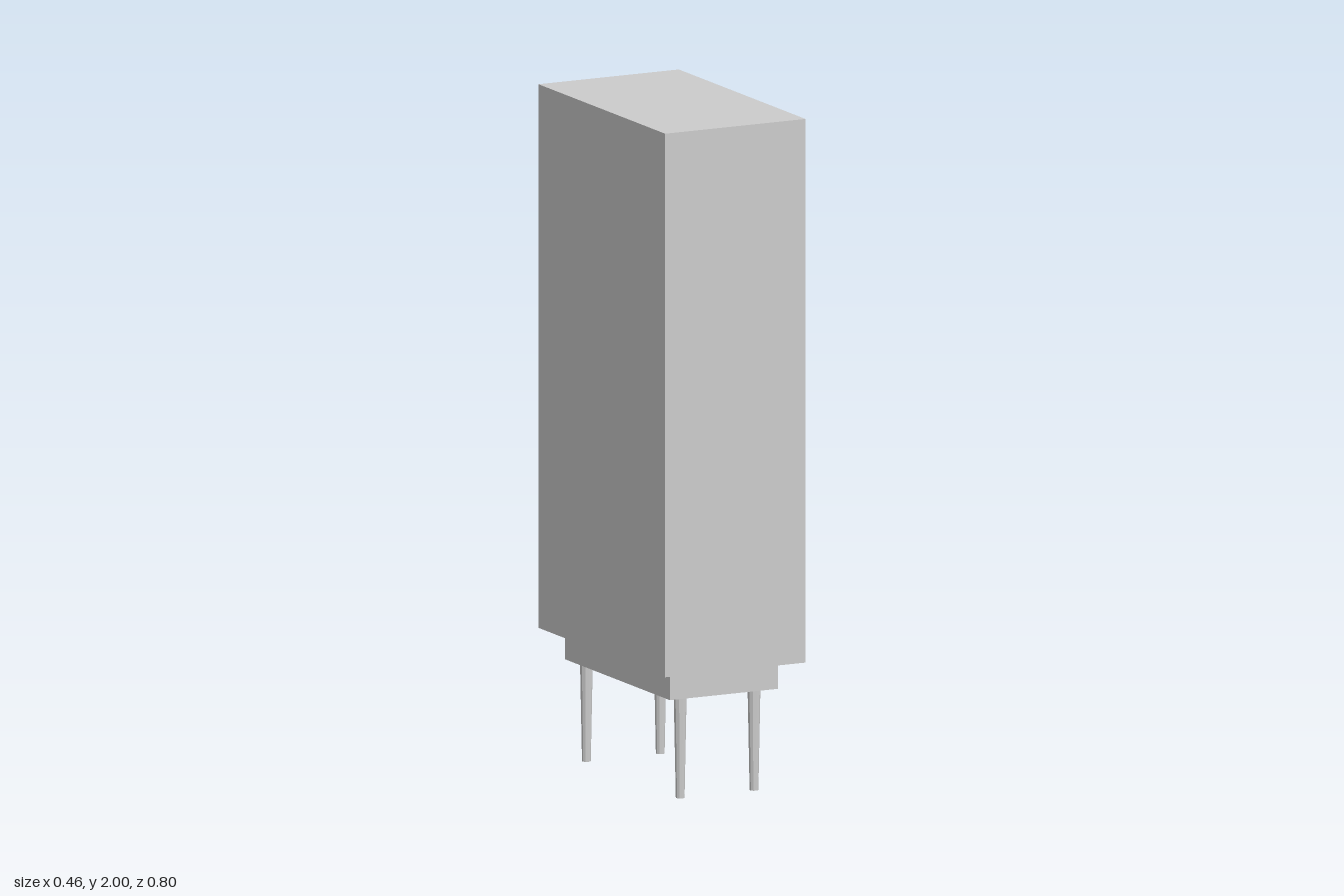
import * as THREE from 'three';

const material = new THREE.MeshStandardMaterial({ color: 0xcccccc, flatShading: true });

function addMesh(parent, name, geometry, x = 0, y = 0, z = 0) {
  const mesh = new THREE.Mesh(geometry, material);
  mesh.name = name;
  mesh.position.set(x, y, z);
  parent.add(mesh);
  return mesh;
}

// Box given by its limits on each axis
function addBox(parent, name, [x0, x1], [y0, y1], [z0, z1]) {
  return addMesh(parent, name, new THREE.BoxGeometry(x1 - x0, y1 - y0, z1 - z0),
    (x0 + x1) / 2, (y0 + y1) / 2, (z0 + z1) / 2);
}

function rectangle(PathType, u0, u1, v0, v1) {
  return new PathType([[u0, v0], [u1, v0], [u1, v1], [u0, v1]].map(p => new THREE.Vector2(...p)));
}

export function createModel() {
  const model = new THREE.Group();
  model.name = 'bookcase';

  const backX = -0.085; // inner face of the back panel
  const frontX = 0.23;

  // Case: a frame open towards +x, closed by a thick back
  const outline = rectangle(THREE.Shape, -0.4, 0.4, 0.385, 2);
  outline.holes.push(rectangle(THREE.Path, -0.363, 0.363, 0.457, 1.93));
  const frame = new THREE.ExtrudeGeometry(outline, { depth: frontX - backX, bevelEnabled: false });
  frame.rotateY(Math.PI / 2);
  addMesh(model, 'caseFrame', frame, backX);
  addBox(model, 'caseBack', [-0.23, backX], [0.385, 2], [-0.4, 0.4]);

  // Shelves, set back a little from the opening
  for (const y of [0.815, 1.187, 1.557]) {
    addBox(model, 'shelf', [backX, 0.202], [y, y + 0.021], [-0.363, 0.363]);
  }

  // Books: centre y and z, height, thickness, lean about x
  const books = [
    [1.012, 0.27, 0.335, 0.106, 0],
    [1.003, 0.116, 0.343, 0.029, 0.346],
    [0.963, 0.057, 0.225, 0.03, 0.348],
    [1.01, -0.238, 0.334, 0.048, -0.063],
    [1.012, -0.308, 0.335, 0.05, 0],
    [0.632, -0.241, 0.331, 0.104, -0.428],
  ];
  for (const [y, z, height, thickness, lean] of books) {
    const book = addMesh(model, 'book', new THREE.BoxGeometry(0.265, height, thickness), 0.066, y, z);
    book.rotation.x = lean;
  }

  // Plinth and tapered legs
  addBox(model, 'plinth', [-0.18, 0.175], [0.3, 0.385], [-0.33, 0.333]);
  for (const x of [-0.13, 0.112]) {
    for (const z of [-0.29, 0.302]) {
      addMesh(model, 'leg', new THREE.CylinderGeometry(0.019, 0.013, 0.3, 10), x, 0.15, z);
    }
  }

  return model;
}
